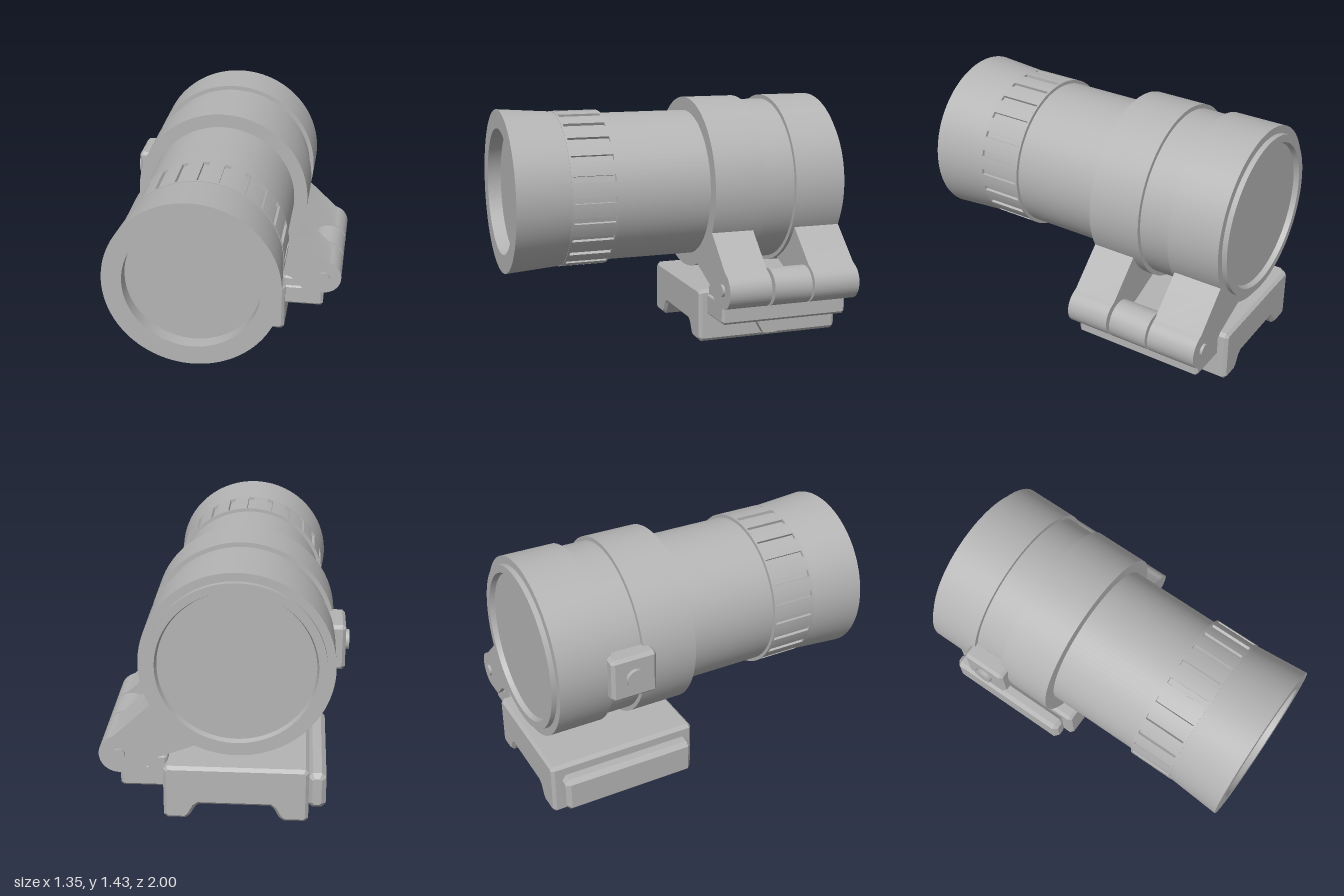
import * as THREE from 'three';
import { toCreasedNormals } from 'three/addons/utils/BufferGeometryUtils.js';

const CX = -0.08, CY = 0.91;          // optical axis
const PIN_X = 0.56, PIN_Y = 0.375;    // hinge axis

export function createModel() {
  const model = new THREE.Group();
  const metal = new THREE.MeshStandardMaterial({ color: 0xb4b4b4 });
  metal.name = 'grey metal';

  const add = (name, geometry, parent = model) => {
    const mesh = new THREE.Mesh(toCreasedNormals(geometry, 0.5), metal);
    mesh.name = name;
    parent.add(mesh);
    return mesh;
  };

  // Turned part on the optical axis; profile of [radius, z] from back to front
  const turned = (name, profile) => {
    const g = new THREE.LatheGeometry(profile.map(([r, z]) => new THREE.Vector2(r, z)), 96);
    return add(name, g.rotateX(Math.PI / 2).translate(CX, CY, 0));
  };

  // Cylinder along z between two depths
  const rod = (name, x, y, r, z0, z1) => {
    const g = new THREE.CylinderGeometry(r, r, z1 - z0, 40).rotateX(Math.PI / 2);
    return add(name, g.translate(x, y, (z0 + z1) / 2));
  };

  // Outline in x, y extruded from z0 to z1, with an optional chamfer inside those limits
  const extruded = (name, shape, z0, z1, chamfer = 0) => {
    const g = new THREE.ExtrudeGeometry(shape, {
      depth: z1 - z0 - 2 * chamfer, bevelEnabled: chamfer > 0, bevelSize: chamfer,
      bevelThickness: chamfer, bevelOffset: -chamfer, bevelSegments: 1, curveSegments: 32,
    });
    return add(name, g.translate(0, 0, z0 + chamfer));
  };
  const outline = (points) => new THREE.Shape(points.map(([x, y]) => new THREE.Vector2(x, y)));

  // Box with chamfered edges all round
  const chamferBox = (name, x0, x1, y0, y1, z0, z1, c) => extruded(name, outline([
    [x0 + c, y0], [x1 - c, y0], [x1, y0 + c], [x1, y1 - c],
    [x1 - c, y1], [x0 + c, y1], [x0, y1 - c], [x0, y0 + c],
  ]), z0, z1, c);

  // Optical tube
  turned('mainTube', [[0, -0.6], [0.44, -0.6], [0.44, 0.68], [0, 0.68]]);
  turned('eyepiece', [[0.44, 0.67], [0.456, 0.67], [0.48, 1], [0.37, 1], [0.37, 0.92]]);
  turned('frontLens', [[0.375, 0.92], [0, 0.92]]);
  turned('rearRim', [[0.42, -0.97], [0.43, -1], [0.475, -1], [0.475, -0.95]]);
  turned('rearLens', [[0, -0.97], [0.43, -0.97]]);

  // Focus grip with 24 slots
  const grip = new THREE.Shape();
  const slots = 24, step = (Math.PI * 2) / slots, half = 0.039;
  for (let i = 0; i < slots; i++) {
    const a = i * step;
    const polar = (r, t) => [CX + r * Math.cos(t), CY + r * Math.sin(t)];
    if (i === 0) grip.moveTo(...polar(0.443, a - half));
    else grip.lineTo(...polar(0.443, a - half));
    grip.lineTo(...polar(0.443, a + half));
    for (let k = 0; k <= 4; k++) {
      grip.lineTo(...polar(0.46, a + half + ((step - 2 * half) * k) / 4));
    }
  }
  extruded('focusGrip', grip, 0.42, 0.672);
  turned('gripBackLip', [[0.43, 0.41], [0.46, 0.41], [0.46, 0.422], [0.43, 0.422]]);
  turned('gripFrontLip', [[0.43, 0.668], [0.46, 0.668], [0.46, 0.68], [0.43, 0.68]]);

  // Clamp rings and the band between them
  turned('frontRing', [[0.43, -0.47], [0.52, -0.47], [0.52, -0.15], [0.43, -0.15]]);
  turned('centreBand', [[0.43, -0.67], [0.495, -0.67], [0.495, -0.46], [0.43, -0.46]]);
  turned('rearRing', [[0.44, -0.97], [0.52, -0.97], [0.52, -0.66], [0.44, -0.66]]);

  // Button pad on the right side
  chamferBox('buttonPad', -0.655, -0.54, 0.78, 1.04, -0.69, -0.42, 0.018);
  add('button', new THREE.CylinderGeometry(0.055, 0.055, 0.05, 32)
    .rotateZ(Math.PI / 2).translate(-0.652, CY, -0.555));

  // Hinge arms reaching from the rings to the pin
  const arm = outline([[0.12, 0.45], [0.15, 0.44], [0.355, 0.36], [0.45, 0.265], [PIN_X, 0.265]]);
  arm.absarc(PIN_X, PIN_Y, 0.11, -Math.PI / 2, Math.PI * 0.36, false);
  arm.lineTo(0.585, 0.485);
  arm.lineTo(0.385, 0.675);
  arm.lineTo(0.33, 0.72);
  extruded('frontArm', arm, -0.41, -0.15);
  extruded('rearArm', arm, -0.97, -0.68);

  // Hinge knuckle, pin and the block that carries them
  rod('hingeKnuckle', PIN_X, PIN_Y, 0.11, -0.665, -0.43);
  rod('hingePin', PIN_X, PIN_Y, 0.035, -0.985, -0.135);
  add('knuckleWeb', new THREE.BoxGeometry(0.11, 0.17, 0.235).translate(0.505, 0.29, -0.5475));
  chamferBox('hingeBlock', 0.3, 0.56, 0.165, 0.3, -0.94, -0.15, 0.015);
  chamferBox('blockStop', 0.3, 0.42, 0.2, 0.36, -0.94, -0.16, 0.015);

  // Rail mount with a channel underneath
  extruded('railMount', outline([
    [-0.475, 0.02], [-0.455, 0], [-0.34, 0], [-0.315, 0.02], [-0.285, 0.075], [-0.265, 0.09],
    [0.125, 0.09], [0.145, 0.075], [0.175, 0.02], [0.2, 0], [0.3, 0], [0.32, 0.02],
    [0.32, 0.3], [0.3, 0.32], [-0.455, 0.32], [-0.475, 0.3],
  ]), -1, -0.1, 0.018);
  chamferBox('clampBar', -0.57, -0.47, 0.06, 0.27, -0.95, -0.15, 0.025);

  // Hexagonal clamp bolt
  add('clampBolt', new THREE.CylinderGeometry(0.085, 0.085, 0.06, 6)
    .rotateZ(Math.PI / 2).translate(0.335, 0.105, -0.54));

  return model;
}
